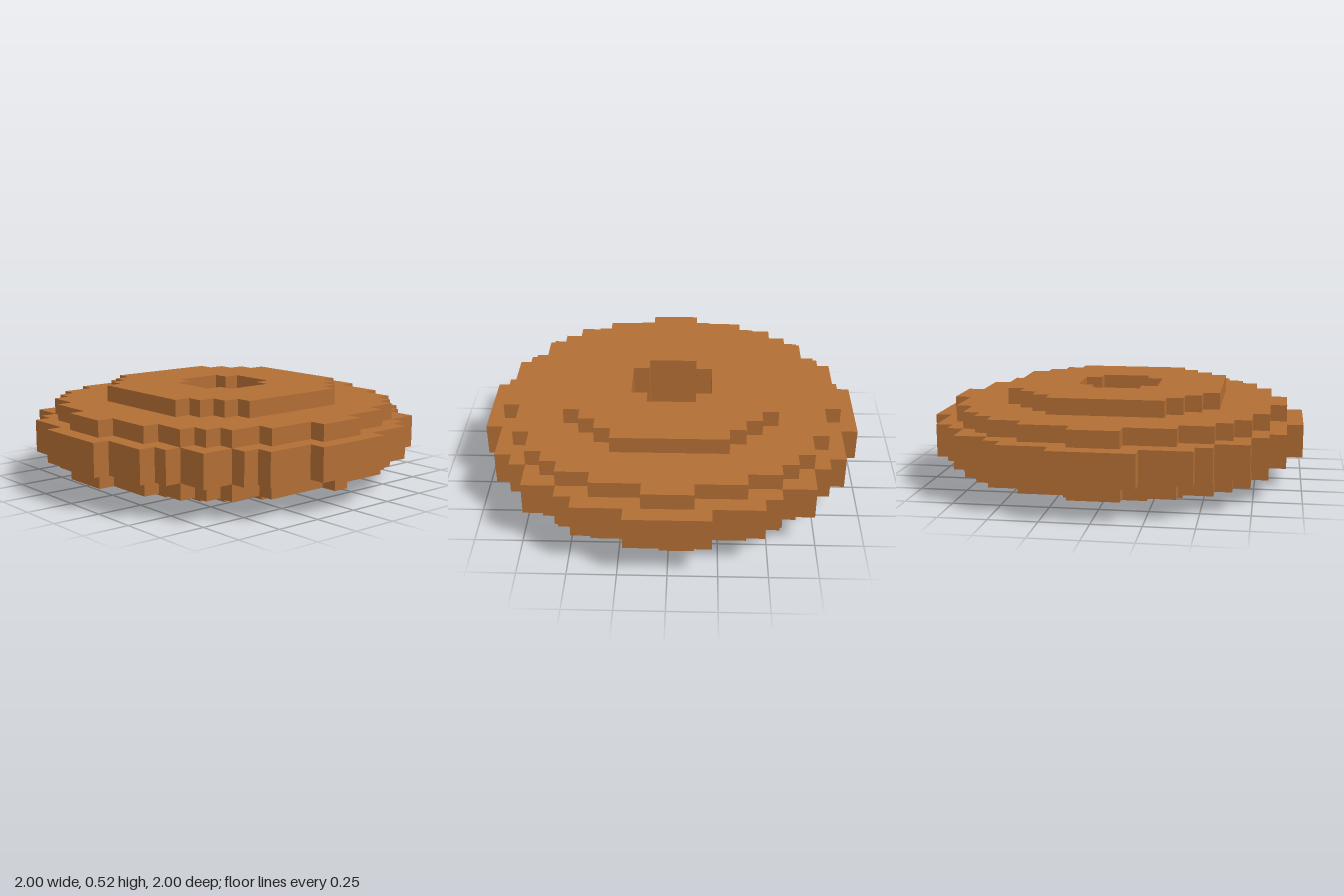
import * as THREE from 'three';

const U = 2 / 23; // edge of one block

// Mirror a staircase of outer corners (x, z in blocks) into a closed counter-clockwise outline
function outline(corners) {
  const quarter = [];
  corners.forEach(([x, z], i) => {
    quarter.push([x, z]);
    if (i < corners.length - 1) quarter.push([x, corners[i + 1][1]]);
  });
  const back = [...quarter].reverse();
  return [
    ...back,
    ...quarter.map(([x, z]) => [-x, z]),
    ...back.map(([x, z]) => [-x, -z]),
    ...quarter.map(([x, z]) => [x, -z]),
  ].map(([x, z]) => new THREE.Vector2(x * U, z * U));
}

export function createModel() {
  const group = new THREE.Group();
  const brown = new THREE.MeshStandardMaterial({ color: 0xb26e34 });
  brown.name = 'brown';

  // Cross-shaped centre hole, wound clockwise so its walls face inwards
  const hole = outline([[1.5, 2.5], [2.5, 1.5]]).reverse();

  // One stepped slab with the centre hole
  function slab(name, y0, y1, corners) {
    const shape = new THREE.Shape(outline(corners));
    shape.holes.push(new THREE.Path(hole));
    const geo = new THREE.ExtrudeGeometry(shape, { depth: (y1 - y0) * U, bevelEnabled: false });
    geo.rotateX(-Math.PI / 2).translate(0, y0 * U, 0);
    const mesh = new THREE.Mesh(geo, brown);
    mesh.name = name;
    group.add(mesh);
  }

  // Small block on the rim, given by its extents in blocks
  function tip(name, x0, x1, z0, z1) {
    const geo = new THREE.BoxGeometry((x1 - x0) * U, U, (z1 - z0) * U);
    geo.translate((x0 + x1) / 2 * U, 1.5 * U, (z0 + z1) / 2 * U);
    const mesh = new THREE.Mesh(geo, brown);
    mesh.name = name;
    group.add(mesh);
  }

  const shoulder = [[4.5, 9.5], [6.5, 8.5], [7.5, 7.5], [8.5, 6.5], [9.5, 4.5]];

  slab('bottomRing', 0, 1, [[2.5, 6.5], [4.5, 5.5], [5.5, 4.5], [6.5, 2.5]]);
  slab('lowerRing', 1, 2, shoulder);
  slab('middleRing', 2, 4, [[2.5, 11.5], [5.5, 10.5], [6.5, 9.5], [8.5, 8.5], [9.5, 6.5], [10.5, 5.5], [11.5, 2.5]]);
  slab('upperRing', 4, 5, [[1.5, 10.5], ...shoulder, [10.5, 1.5]]);
  slab('topRing', 5, 6, [[3.5, 6.5], [4.5, 5.5], [5.5, 4.5], [6.5, 3.5]]);

  // Rim tips of the lower ring
  tip('lowerFrontTip', -0.5, 0.5, 9.5, 10.5);
  tip('lowerBackTip', -1.5, 1.5, -10.5, -9.5);
  tip('lowerLeftTip', 9.5, 10.5, -1.5, 0.5);
  tip('lowerRightTip', -10.5, -9.5, -1.5, 1.5);

  return group;
}
